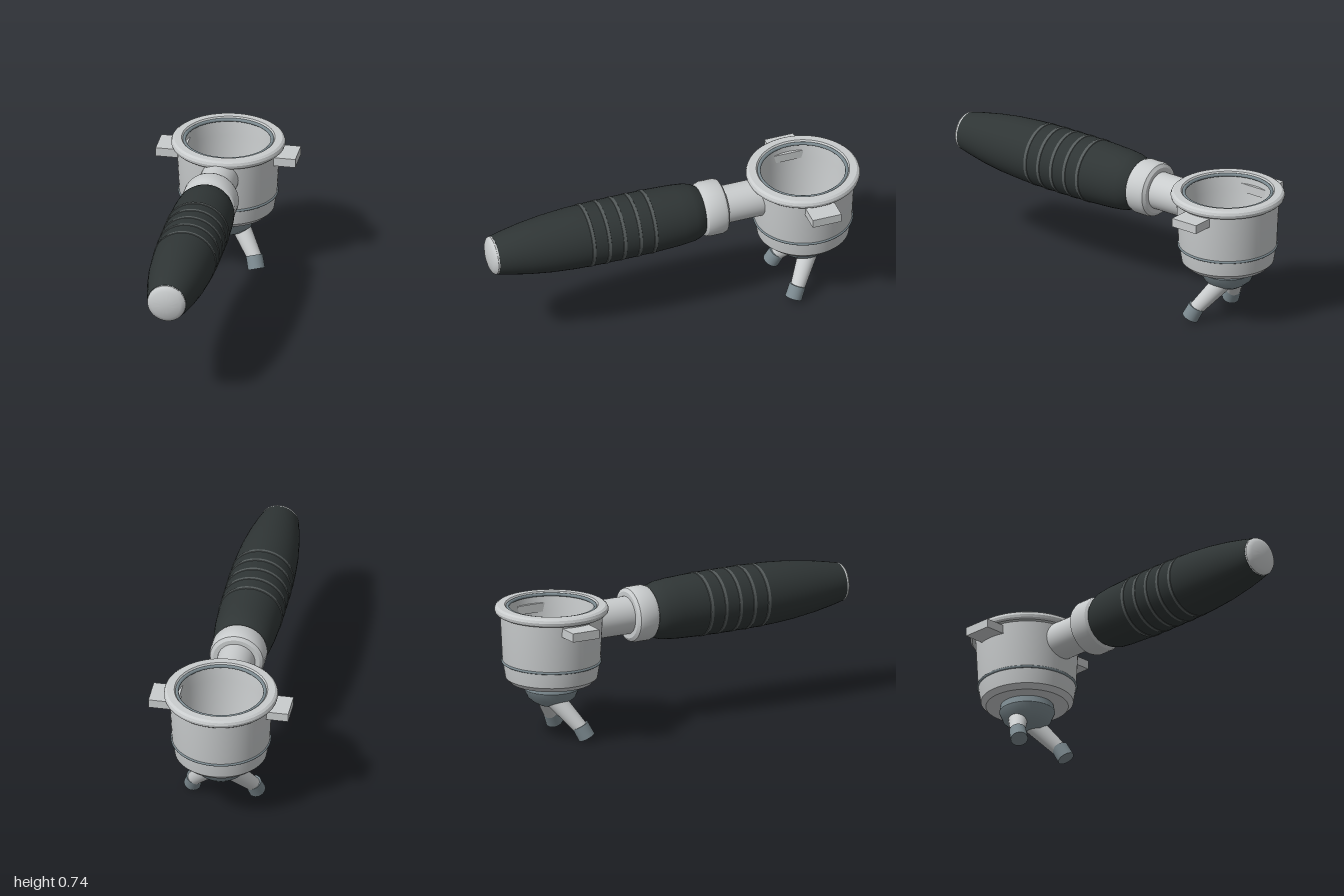
import * as THREE from 'three';
import { toCreasedNormals } from 'three/addons/utils/BufferGeometryUtils.js';

const mat = (name, color) => {
  const m = new THREE.MeshStandardMaterial({ color });
  m.name = name;
  return m;
};

export function createModel() {
  const steel = mat('polished steel', 0xc9cccd);
  const blueSteel = mat('blue steel', 0x7d8b91);
  const black = mat('black grip', 0x2f3535);
  const grey = mat('grey stripe', 0x555b5b);
  const dark = mat('dark hole', 0x4a5256);

  const model = new THREE.Group();
  const bowlZ = -0.71, axisY = 0.58;

  const add = (name, geometry, material, parent = model) => {
    const mesh = new THREE.Mesh(geometry, material);
    mesh.name = name;
    parent.add(mesh);
    return mesh;
  };
  // profile of [radius, height] pairs; upward means facing outward
  const lathe = (profile, segments = 48, crease = 0.55) => toCreasedNormals(
    new THREE.LatheGeometry(profile.map(([r, y]) => new THREE.Vector2(r, y)), segments), crease);
  // turned part lying along the handle axis, heights read as z
  const turned = (name, profile, material) => {
    const mesh = add(name, lathe(profile, 40), material);
    mesh.rotation.x = Math.PI / 2;
    mesh.position.y = axisY;
    return mesh;
  };
  // cylinder between two points
  const rod = (name, a, b, ra, rb, material, parent) => {
    const dir = b.clone().sub(a);
    const mesh = add(name, new THREE.CylinderGeometry(rb, ra, dir.length(), 28), material, parent);
    mesh.position.copy(a).add(b).multiplyScalar(0.5);
    mesh.quaternion.setFromUnitVectors(new THREE.Vector3(0, 1, 0), dir.normalize());
  };

  // Bowl, with everything centred on its vertical axis
  const bowl = new THREE.Group();
  bowl.name = 'bowl';
  bowl.position.z = bowlZ;
  model.add(bowl);
  add('bowlBody', lathe([
    [0, 0.295], [0.21, 0.295], [0.235, 0.32], [0.25, 0.41], [0.262, 0.653],
    [0.279, 0.656], [0.288, 0.665], [0.291, 0.678], [0.286, 0.691], [0.275, 0.699],
    [0.238, 0.7], [0.23, 0.69], [0.222, 0.6], [0.212, 0.4], [0.205, 0.36],
    [0.185, 0.338], [0.15, 0.332], [0, 0.33],
  ], 64), steel, bowl);
  const ring = (name, radius, tube, y) => {
    const mesh = add(name, new THREE.TorusGeometry(radius, tube, 10, 64), blueSteel, bowl);
    mesh.rotation.x = Math.PI / 2;
    mesh.position.y = y;
  };
  ring('bowlBand', 0.249, 0.007, 0.404);
  ring('basketRing', 0.224, 0.009, 0.687);

  // Perforated basket floor: rings of small discs
  const holes = new THREE.Group();
  holes.name = 'floorHoles';
  bowl.add(holes);
  const holeGeo = new THREE.CylinderGeometry(0.006, 0.006, 0.004, 8);
  for (let i = 0; i <= 5; i++) {
    const count = Math.max(1, i * 6);
    for (let k = 0; k < count; k++) {
      const a = (k / count) * Math.PI * 2, r = i * 0.034;
      add('hole', holeGeo, dark, holes)
        .position.set(r * Math.cos(a), 0.332 + (i === 5 ? 0.004 : 0), r * Math.sin(a));
    }
  }

  // Spout hub under the bowl
  add('spoutHub', lathe([
    [0, 0.175], [0.066, 0.175], [0.095, 0.192], [0.122, 0.215], [0.142, 0.26],
    [0.135, 0.297], [0, 0.297],
  ], 40), blueSteel, bowl);

  // Mirrored locking lugs and spouts
  for (const s of [1, -1]) {
    add('lockingLug', new THREE.BoxGeometry(0.15, 0.046, 0.155), steel, bowl)
      .position.set(s * 0.286, 0.621, 0);
    const p = (x, y, z) => new THREE.Vector3(s * x, y, z);
    rod('spout', p(0.04, 0.235, -0.025), p(0.155, 0.07, 0.087), 0.052, 0.037, steel, bowl);
    rod('spoutTip', p(0.15, 0.085, 0.083), p(0.167, 0.022, 0.112), 0.043, 0.044, blueSteel, bowl);
  }

  // Neck and collar
  turned('neck', [[0, -0.478], [0.097, -0.478], [0.097, -0.25], [0, -0.25]], steel);
  turned('collar', [
    [0, -0.273], [0.12, -0.273], [0.137, -0.262], [0.143, -0.245], [0.143, -0.175],
    [0.137, -0.157], [0.122, -0.145], [0, -0.145],
  ], steel);

  // Grip with its stripes
  turned('grip', [
    [0, -0.15], [0.122, -0.15], [0.138, -0.125], [0.15, -0.09], [0.157, -0.02],
    [0.162, 0.1], [0.164, 0.25], [0.163, 0.42], [0.159, 0.55], [0.149, 0.68],
    [0.133, 0.8], [0.114, 0.9], [0.1, 0.962], [0, 0.962],
  ], black);
  for (const z of [0.14, 0.223, 0.307, 0.39, 0.474]) {
    const r = z > 0.45 ? 0.164 : 0.166;
    turned('gripStripe', [[0.16, z - 0.011], [r, z - 0.008], [r, z + 0.008], [0.158, z + 0.011]], grey);
  }

  // Domed end cap
  turned('endCap', [
    [0.09, 0.955], [0.099, 0.96], [0.099, 0.97], [0.094, 0.978], [0.075, 0.988],
    [0.04, 0.997], [0, 1],
  ], steel);

  return model;
}
